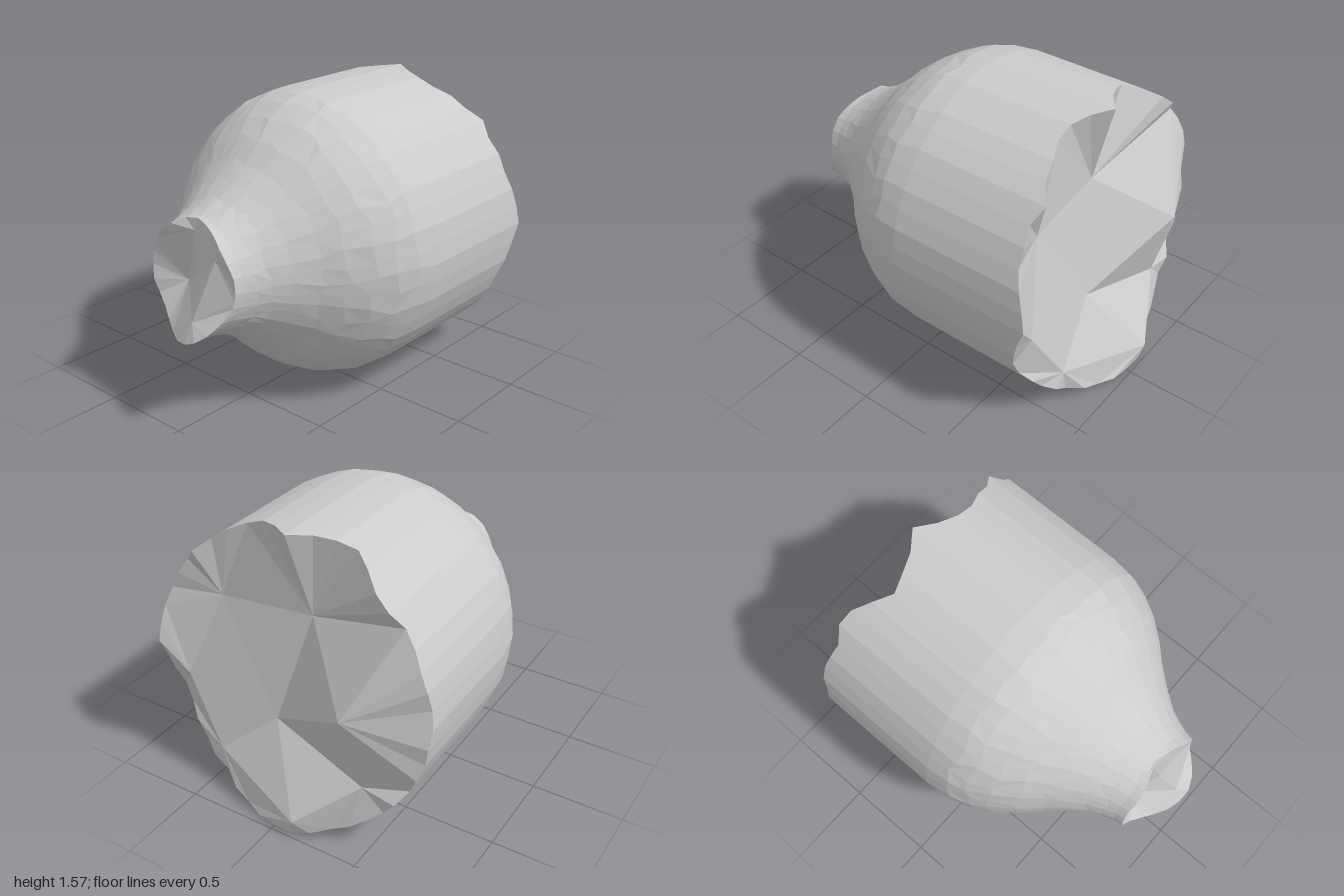
import * as THREE from 'three';

const N = 48, CY = 0.785;
// radius along z, from shoulder start to neck lip
const PROFILE = [[-0.05, 0.785], [0.1, 0.768], [0.2, 0.728], [0.3, 0.67], [0.4, 0.59], [0.5, 0.49],
  [0.6, 0.41], [0.7, 0.34], [0.8, 0.3], [0.87, 0.289], [1, 0.285]];
// chipped edge of the body every 7.5 degrees, counter-clockwise from +x
const BACK = [-0.84, -0.82, -0.79, -0.76, -0.76, -0.74, -0.78, -0.72, -0.7, -0.66, -0.66, -0.7,
  -0.77, -0.69, -0.65, -0.62, -0.69, -0.76, -0.78, -0.74, -0.76, -0.78, -0.78, -0.76,
  -0.77, -0.79, -0.78, -0.8, -0.78, -0.83, -0.82, -0.85, -0.88, -0.9, -0.95, -0.98,
  -0.97, -0.96, -0.92, -0.9, -0.84, -0.84, -0.8, -0.79, -0.75, -0.74, -0.77, -0.8];
// chipped edge of the neck every 15 degrees
const NECK = [0.86, 0.86, 0.87, 0.87, 0.85, 0.83, 0.81, 0.82, 0.86, 0.87, 0.86, 0.86,
  0.86, 0.87, 0.86, 0.87, 0.9, 0.94, 0.98, 1, 1, 0.97, 0.92, 0.87];

function radiusAt(z) {
  if (z <= PROFILE[0][0]) return PROFILE[0][1];
  for (let i = 1; i < PROFILE.length; i++) {
    const [z0, r0] = PROFILE[i - 1], [z1, r1] = PROFILE[i];
    if (z <= z1) return r0 + (r1 - r0) * (z - z0) / (z1 - z0);
  }
  return PROFILE[PROFILE.length - 1][1];
}

// odd columns sit slightly inside, so the wall reads as 24 softly bent sides
function point(i, z, turn = 0) {
  const a = (i + turn) / N * Math.PI * 2;
  const r = radiusAt(z) * (i % 2 ? 0.996 : 1);
  return [r * Math.cos(a), CY + r * Math.sin(a), z];
}

function neckEdge(i) {
  return (NECK[Math.floor(i / 2)] + NECK[Math.ceil(i / 2) % 24]) / 2;
}

function makeMesh(name, triangles, material) {
  const g = new THREE.BufferGeometry();
  g.setAttribute('position', new THREE.Float32BufferAttribute(triangles.flat(2), 3));
  g.computeVertexNormals();
  const mesh = new THREE.Mesh(g, material);
  mesh.name = name;
  return mesh;
}

// joins the rim to a coarse ring of inner points, then to a centre point
function brokenFace(rim, inner, centre, flip) {
  const tris = [], M = inner.length;
  const angle = (p) => Math.atan2(p[1] - CY, p[0]);
  const add = (a, b, c) => tris.push(flip ? [a, c, b] : [a, b, c]);
  const nearest = (p) => {
    const gaps = inner.map((q) => 1 - Math.cos(angle(p) - angle(q)));
    return gaps.indexOf(Math.min(...gaps));
  };
  for (let i = 0; i < N; i++) {
    const a = rim[i], b = rim[(i + 1) % N];
    let k = nearest(a);
    const end = nearest(b);
    add(a, b, inner[k]);
    while (k !== end) {
      add(b, inner[(k + 1) % M], inner[k]);
      k = (k + 1) % M;
    }
  }
  for (let k = 0; k < M; k++) add(inner[k], inner[(k + 1) % M], centre);
  return tris;
}

export function createModel() {
  const group = new THREE.Group();
  group.name = 'brokenBottle';
  const material = new THREE.MeshStandardMaterial({ color: 0xcccccc, flatShading: true });

  let seed = 7;
  const jitter = () => {
    seed = (seed * 16807) % 2147483647;
    return seed / 2147483647 - 0.5;
  };

  // rings from the broken back edge, over the shoulder, to the neck edge
  const rows = [BACK.map((z, i) => point(i, z)), BACK.map((_, i) => point(i, -0.05))];
  for (const z of [0.08, 0.18, 0.29, 0.39, 0.49, 0.59, 0.68, 0.75]) {
    rows.push(BACK.map((_, i) => point(i, z + jitter() * 0.04, jitter() * 0.5)));
  }
  for (const t of [0.5, 1]) {
    rows.push(BACK.map((_, i) => point(i, 0.76 + (neckEdge(i) - 0.76) * t)));
  }

  // outer wall, with the quad diagonal alternating
  const wall = [];
  for (let j = 0; j < rows.length - 1; j++) {
    for (let i = 0; i < N; i++) {
      const k = (i + 1) % N;
      const a = rows[j][i], b = rows[j][k], c = rows[j + 1][k], d = rows[j + 1][i];
      if ((i + j) % 2) wall.push([a, b, c], [a, c, d]);
      else wall.push([a, b, d], [b, c, d]);
    }
  }
  group.add(makeMesh('bottleWall', wall, material));

  // jagged break across the body
  const backInner = [[0.47, 1.075, -0.68], [-0.05, 1.095, -0.64], [-0.39, 0.79, -0.95],
    [-0.44, 0.345, -0.83], [-0.13, 0.1, -1], [0.42, 0.24, -0.84], [0.64, 0.605, -0.79]];
  group.add(makeMesh('bodyBreak', brokenFace(rows[0], backInner, [0.11, 0.5, -0.756], true), material));

  // jagged break across the neck
  const neckInner = [[0.16, 0.92, 0.86], [-0.02, 1.02, 0.82], [-0.12, 0.72, 0.78], [0.08, 0.61, 0.95]];
  group.add(makeMesh('neckBreak',
    brokenFace(rows[rows.length - 1], neckInner, [0.03, 0.8, 0.85], false), material));

  return group;
}
